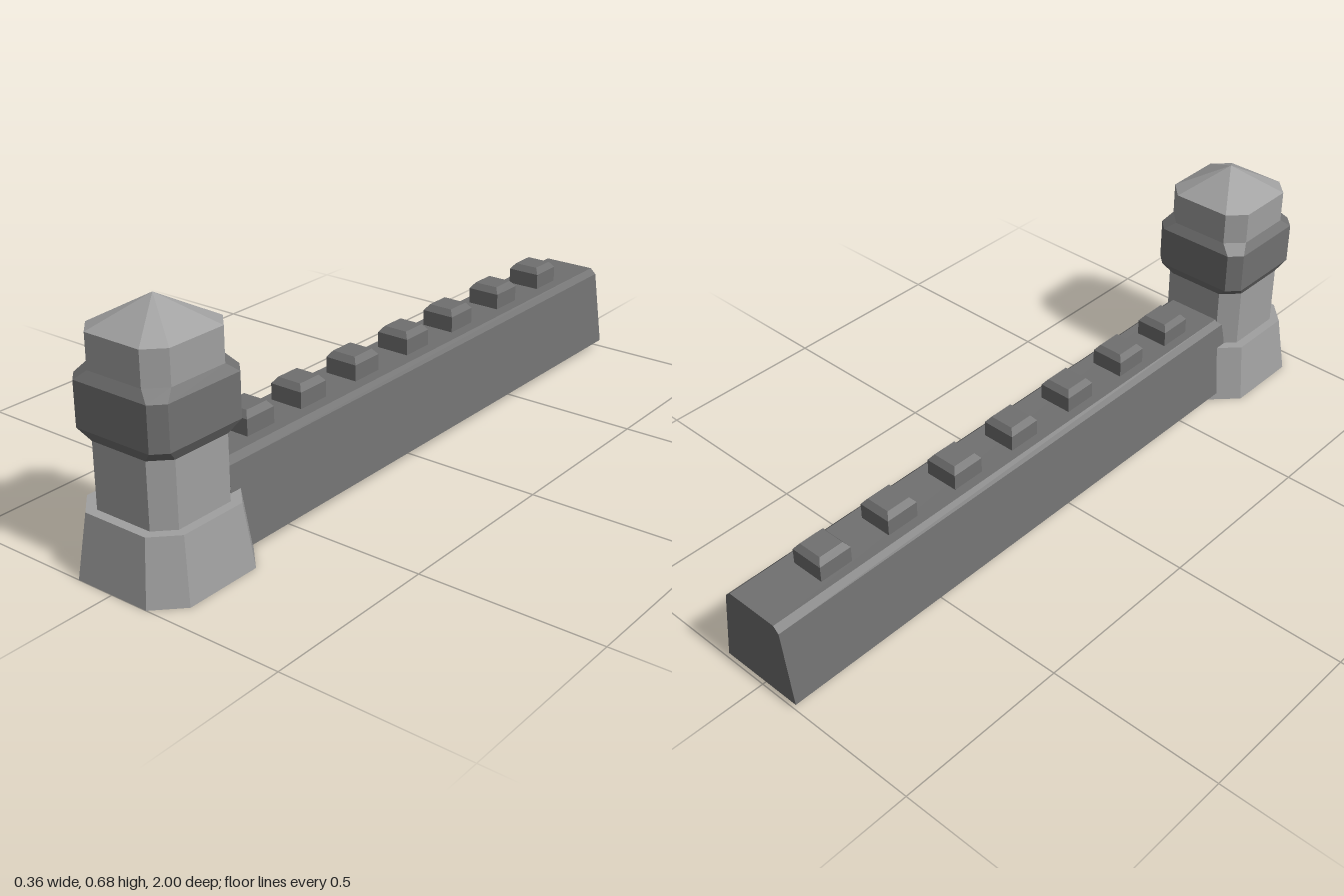
import * as THREE from 'three';

const stone = new THREE.MeshStandardMaterial({ color: 0xa0a0a0 });
stone.name = 'lightStone';
const darkStone = new THREE.MeshStandardMaterial({ color: 0x707070 });
darkStone.name = 'darkStone';

// Square ring with cut corners: h = half width, f = half length of each flat side
function ring(y, h, f) {
  return [[h, f], [h, -f], [f, -h], [-f, -h], [-h, -f], [-h, f], [-f, h], [f, h]]
    .map(([x, z]) => new THREE.Vector3(x, y, z));
}

// Closed, flat-faced solid through a stack of [y, h, f] rings
function loft(sections) {
  const rings = sections.map((s) => ring(...s));
  const pos = [];
  const tri = (a, b, c) => {
    const area = b.clone().sub(a).cross(c.clone().sub(a)).length();
    if (area > 1e-9) pos.push(...a.toArray(), ...b.toArray(), ...c.toArray());
  };
  const n = 8;
  for (let r = 0; r < rings.length - 1; r++) {
    const lo = rings[r], hi = rings[r + 1];
    for (let i = 0; i < n; i++) {
      const j = (i + 1) % n;
      tri(lo[i], lo[j], hi[j]);
      tri(lo[i], hi[j], hi[i]);
    }
  }
  const bottom = rings[0], top = rings[rings.length - 1];
  for (let i = 1; i < n - 1; i++) {
    tri(bottom[0], bottom[i + 1], bottom[i]);
    tri(top[0], top[i], top[i + 1]);
  }
  const geo = new THREE.BufferGeometry();
  geo.setAttribute('position', new THREE.Float32BufferAttribute(pos, 3));
  geo.computeVertexNormals();
  return geo;
}

function add(parent, name, geo, material) {
  const mesh = new THREE.Mesh(geo, material);
  mesh.name = name;
  parent.add(mesh);
  return mesh;
}

export function createModel() {
  const model = new THREE.Group();
  model.name = 'towerAndWall';

  // Tower
  const tower = new THREE.Group();
  tower.name = 'tower';
  tower.position.z = 0.82;
  model.add(tower);
  add(tower, 'towerBase', loft([[0, 0.18, 0.11], [0.171, 0.157, 0.096]]), stone);
  add(tower, 'towerShaft', loft([[0.16, 0.131, 0.085], [0.36, 0.131, 0.085]]), stone);
  add(tower, 'towerBand', loft([
    [0.345, 0.131, 0.085], [0.376, 0.148, 0.115],
    [0.493, 0.148, 0.115], [0.518, 0.131, 0.085],
  ]), darkStone);
  add(tower, 'towerRoof', loft([
    [0.5, 0.131, 0.085], [0.609, 0.131, 0.085], [0.684, 0, 0],
  ]), stone);

  // Wall: tapered section with bevelled top edges, running back from the tower
  const section = new THREE.Shape([
    [-0.125, 0.02], [0.125, 0.02], [0.096, 0.237],
    [0.079, 0.253], [-0.079, 0.253], [-0.096, 0.237],
  ].map(([x, y]) => new THREE.Vector2(x, y)));
  const wallGeo = new THREE.ExtrudeGeometry(section, { depth: 1.705, bevelEnabled: false });
  wallGeo.translate(0, 0, -1);
  add(model, 'wall', wallGeo, darkStone);

  // Battlements
  const battlement = loft([
    [0.245, 0.049, 0.049], [0.298, 0.049, 0.049], [0.315, 0.036, 0.036],
  ]);
  [0.53, 0.33, 0.11, -0.115, -0.328, -0.56, -0.78].forEach((z, i) => {
    add(model, `battlement${i + 1}`, battlement, darkStone).position.set(-0.003, 0, z);
  });

  return model;
}
